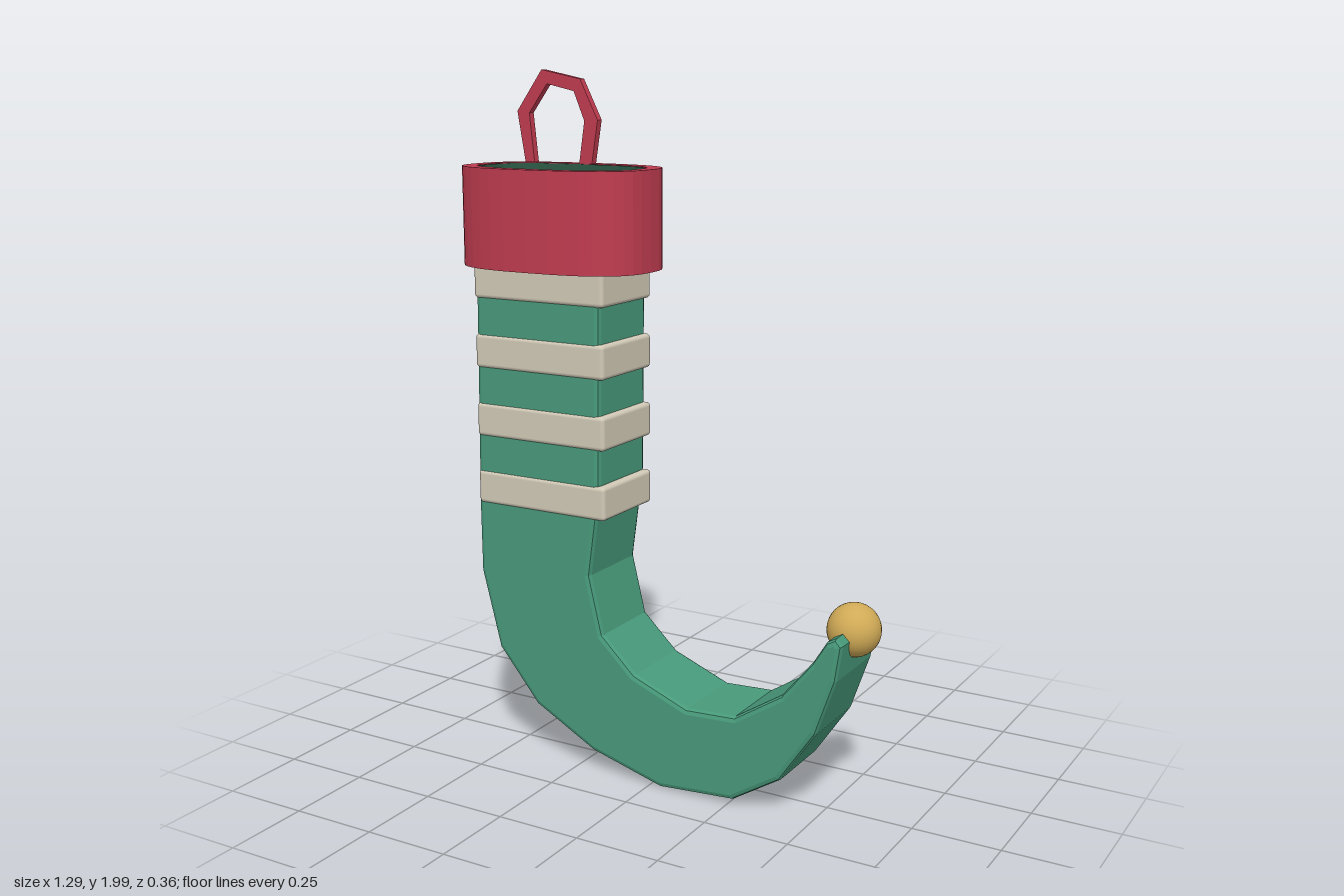
import * as THREE from 'three';
import { RoundedBoxGeometry } from 'three/addons/geometries/RoundedBoxGeometry.js';

const material = (name, color, extra = {}) =>
  new THREE.MeshStandardMaterial({ name, color, ...extra });

// Rounded oval, drawn in the XY plane and later laid flat
function ovalPoints(rx, ry, n = 40) {
  const points = [];
  const power = 2 / 2.7;
  for (let i = 0; i < n; i++) {
    const a = (i / n) * Math.PI * 2;
    const c = Math.cos(a), s = Math.sin(a);
    points.push(new THREE.Vector2(
      Math.sign(c) * Math.abs(c) ** power * rx,
      Math.sign(s) * Math.abs(s) ** power * ry));
  }
  return points;
}

const shapeFrom = (pairs) => new THREE.Shape(pairs.map(([x, y]) => new THREE.Vector2(x, y)));

export function createModel() {
  const group = new THREE.Group();
  group.name = 'stocking';
  const green = material('green felt', 0x489a7b);
  const red = material('red felt', 0xc03c50);
  const cream = material('cream stripe', 0xd2cab7);
  const gold = material('gold bell', 0xd0aa56);
  const dark = material('dark green lining', 0x2d5a45, { side: THREE.DoubleSide });

  const add = (name, geometry, mat, x = 0, y = 0, z = 0) => {
    const mesh = new THREE.Mesh(geometry, mat);
    mesh.name = name;
    mesh.position.set(x, y, z);
    group.add(mesh);
    return mesh;
  };

  // Leg and curled toe, one bevelled outline
  const outline = shapeFrom([
    [-0.568, 1.47], [-0.571, 1.2], [-0.577, 0.77], [-0.575, 0.56], [-0.515, 0.33],
    [-0.385, 0.175], [-0.19, 0.07], [0.035, 0.008], [0.265, 0.024], [0.41, 0.115],
    [0.515, 0.27], [0.57, 0.43], [0.585, 0.53], [0.567, 0.55], [0.54, 0.535],
    [0.5, 0.47], [0.41, 0.36], [0.27, 0.27], [0.12, 0.263], [-0.05, 0.33],
    [-0.155, 0.43], [-0.196, 0.6], [-0.172, 0.77], [-0.16, 0.87], [-0.153, 1.47],
  ]);
  const bevel = 0.015;
  const body = new THREE.ExtrudeGeometry(outline, {
    depth: 0.25 - 2 * bevel, bevelThickness: bevel, bevelSize: bevel,
    bevelOffset: -bevel, bevelSegments: 2,
  });
  add('legAndToe', body, green, 0, 0, -0.125 + bevel);

  // Stripes around the leg
  [0.817, 1.017, 1.217, 1.417].forEach((y, i) => {
    add(`stripe${i + 1}`, new RoundedBoxGeometry(0.432, 0.098, 0.26, 2, 0.012), cream, -0.356, y, 0);
  });

  // Cuff ring with an oval opening
  const cuffX = -0.354, cuffBottom = 1.458, cuffTop = 1.737;
  const ring = new THREE.Shape(ovalPoints(0.292, 0.181));
  ring.holes.push(new THREE.Path(ovalPoints(0.252, 0.142).reverse()));
  const cuff = new THREE.ExtrudeGeometry(ring, { depth: cuffTop - cuffBottom, bevelEnabled: false });
  cuff.rotateX(-Math.PI / 2);
  add('cuff', cuff, red, cuffX, cuffBottom, 0);

  // Lining wall just inside the cuff, and its floor
  const liningShape = new THREE.Shape(ovalPoints(0.2515, 0.1415));
  liningShape.holes.push(new THREE.Path(ovalPoints(0.248, 0.138).reverse()));
  const lining = new THREE.ExtrudeGeometry(liningShape, { depth: 0.255, bevelEnabled: false });
  lining.rotateX(-Math.PI / 2);
  add('lining', lining, dark, cuffX, 1.48, 0);
  const floor = new THREE.ShapeGeometry(new THREE.Shape(ovalPoints(0.251, 0.141)));
  floor.rotateX(-Math.PI / 2);
  add('liningFloor', floor, dark, cuffX, 1.482, 0);

  // Hanging loop, a flat bent strip at the back of the cuff
  const loop = new THREE.ExtrudeGeometry(shapeFrom([
    [-0.563, 1.66], [-0.577, 1.74], [-0.602, 1.882], [-0.515, 2], [-0.383, 1.974],
    [-0.325, 1.86], [-0.345, 1.74], [-0.36, 1.66], [-0.402, 1.66], [-0.388, 1.74],
    [-0.37, 1.857], [-0.405, 1.94], [-0.497, 1.96], [-0.56, 1.877], [-0.545, 1.74],
    [-0.53, 1.66],
  ]), { depth: 0.022, bevelEnabled: false });
  add('hangingLoop', loop, red, 0, 0, -0.167);

  // Bell on the toe tip
  add('bell', new THREE.SphereGeometry(0.074, 28, 18), gold, 0.567, 0.54, 0);

  return group;
}
